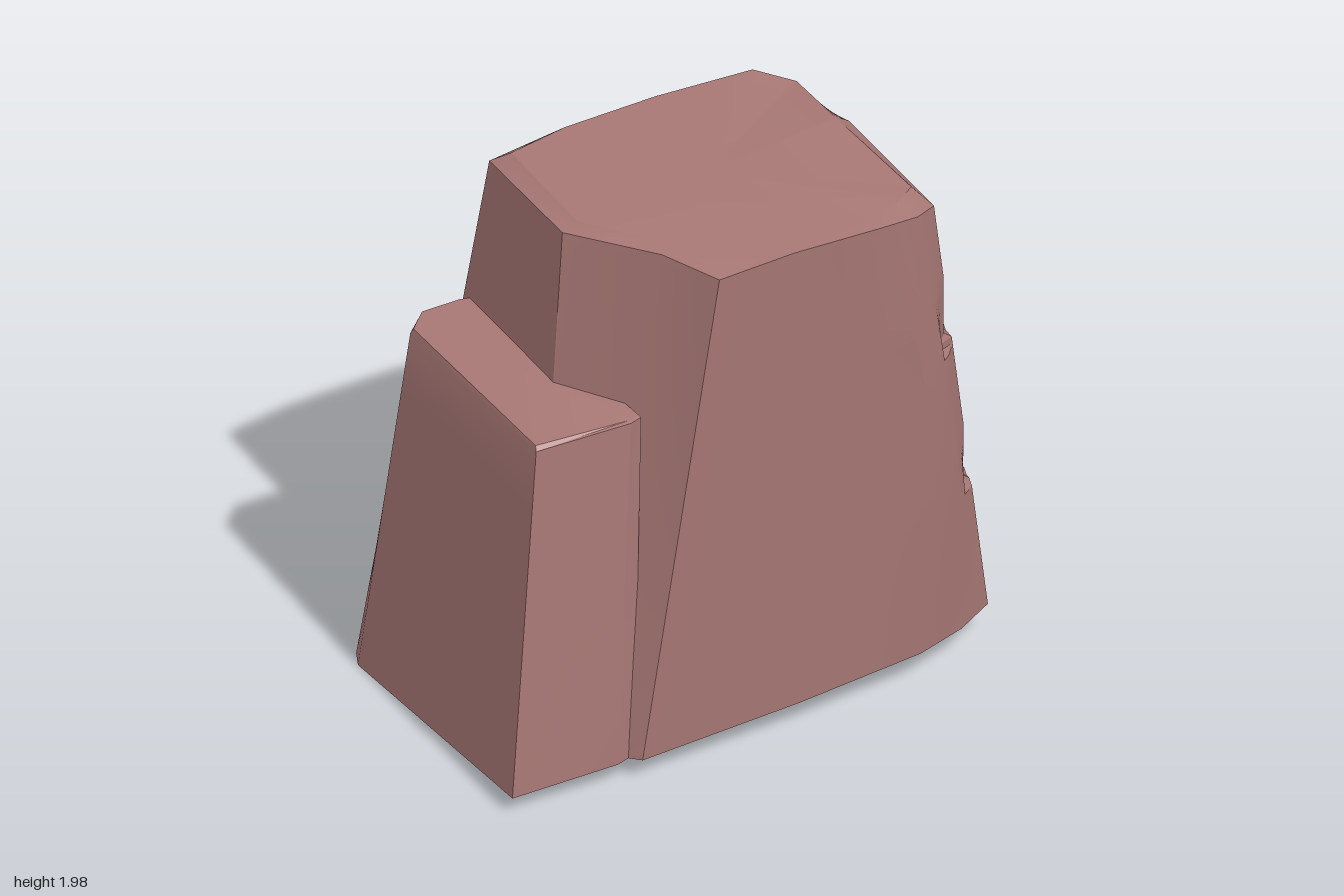
import * as THREE from 'three';
import { toCreasedNormals } from 'three/addons/utils/BufferGeometryUtils.js';

const lerp = THREE.MathUtils.lerp;
const clamp = THREE.MathUtils.clamp;

// The underside is one gently tilted plane.
const groundY = (x, z) => Math.max(0, 0.07 + 0.03 * x + 0.06 * z);

// Narrow upright crack in the right-hand face, 0..1
function crack(y, z) {
  const taper = Math.sqrt(clamp(1 - ((y - 1.0) / 0.4) ** 2, 0, 1));
  return clamp(1 - Math.abs(z + 0.05) / 0.026, 0, 1) * taper;
}

// Chipped ledge: recessed just above a diagonal line, fading upward and toward the back
function ledge(y, z, z0, y0, z1, y1) {
  const s = (z0 - z) / (z0 - z1);
  if (s < -0.1 || s > 1) return 0;
  const above = y - lerp(y0, y1, s);
  return above < 0 ? 0 : clamp(1 - above / 0.28, 0, 1) * (1 - Math.max(s, 0));
}

// How far the right-hand face is cut inward
function carve(y, z) {
  return 0.07 * crack(y, z)
    + 0.035 * ledge(y, z, 0.57, 1.3, 0.16, 1.57)
    + 0.035 * ledge(y, z, 0.48, 0.68, 0.08, 1.12)
    + 0.03 * Math.exp(-(((z + 0.56) / 0.06) ** 2) - ((y - 0.28) / 0.13) ** 2);
}

// Lofts upright columns { b:[x,z], t:[x,y,z], bulge, n } into a closed block.
// Columns run counterclockwise from the front left; n subdivides the face that follows.
function loftBlock(columns, rows, centre, inset, cut) {
  const around = [];
  columns.forEach((c, i) => {
    const d = columns[(i + 1) % columns.length];
    const n = c.n || 1;
    for (let k = 0; k < n; k++) {
      const f = k / n;
      around.push({
        b: c.b.map((v, a) => lerp(v, d.b[a], f)),
        t: c.t.map((v, a) => lerp(v, d.t[a], f)),
        bulge: lerp(c.bulge || 0, d.bulge || 0, f),
      });
    }
  });
  const count = around.length;
  const pos = [];
  const stone = [];
  const dark = [];

  // Wall rings, with a final ring drawn in over the top edge
  for (let j = 0; j <= rows + 1; j++) {
    const s = Math.min(j / rows, 1);
    for (const { b, t, bulge } of around) {
      let x = lerp(b[0], t[0], s) + bulge * Math.sin(Math.PI * s);
      let y = lerp(groundY(b[0], b[1]), t[1], s);
      let z = lerp(b[1], t[2], s);
      if (cut && x > 0.55 && j <= rows) x -= carve(y, z);
      if (j > rows) {
        x = lerp(x, centre[0], inset);
        y = lerp(y, centre[1], 0.75);
        z = lerp(z, centre[2], inset);
      }
      pos.push(x, y, z);
    }
  }
  for (let j = 0; j <= rows; j++) {
    for (let i = 0; i < count; i++) {
      const k = (i + 1) % count;
      const a = j * count + i, b = j * count + k;
      const inCrack = cut && pos[a * 3] > 0.55 && j < rows
        && crack(pos[a * 3 + 1], pos[a * 3 + 2]) > 0.5;
      (inCrack ? dark : stone).push(a, b, b + count, a, b + count, a + count);
    }
  }
  // Underside and top
  const low = pos.length / 3;
  pos.push(centre[0], groundY(centre[0], 0), 0, ...centre);
  const last = (rows + 1) * count;
  for (let i = 0; i < count; i++) {
    const k = (i + 1) % count;
    stone.push(low, k, i, low + 1, last + i, last + k);
  }

  const geo = new THREE.BufferGeometry();
  geo.setAttribute('position', new THREE.Float32BufferAttribute(pos, 3));
  geo.setIndex([...stone, ...dark]);
  geo.addGroup(0, stone.length, 0);
  geo.addGroup(stone.length, dark.length, 1);
  return toCreasedNormals(geo, 0.4);
}

export function createModel() {
  const stone = new THREE.MeshStandardMaterial({ color: 0xa87875 });
  stone.name = 'dusty red stone';
  const shade = new THREE.MeshStandardMaterial({ color: 0x6c5468 });
  shade.name = 'violet crack';

  const model = new THREE.Group();
  model.name = 'rock';
  const add = (name, geo) => {
    const mesh = new THREE.Mesh(geo, [stone, shade]);
    mesh.name = name;
    model.add(mesh);
  };

  // Tall block leaning forward
  add('mainBlock', loftBlock([
    { b: [-0.52, 0.57], t: [-0.29, 1.97, 0.69] },
    { b: [0.1, 0.59], t: [0.0, 1.985, 0.71], n: 2 },
    { b: [0.6, 0.58], t: [0.34, 1.975, 0.73], bulge: 0.12, n: 2 },
    { b: [0.8, 0.53], t: [0.52, 1.93, 0.68], bulge: 0.05, n: 2 },
    { b: [0.96, 0.45], t: [0.64, 1.89, 0.6], n: 40 },
    { b: [1.0, -0.15], t: [0.67, 1.93, 0.05], bulge: 0.035, n: 40 },
    { b: [0.98, -0.48], t: [0.72, 1.82, -0.28], bulge: 0.03, n: 8 },
    { b: [0.83, -0.7], t: [0.61, 1.9, -0.41], n: 2 },
    { b: [0.2, -0.735], t: [0.2, 1.92, -0.45], n: 2 },
    { b: [-0.2, -0.735], t: [-0.2, 1.92, -0.46], n: 2 },
    { b: [-0.63, -0.71], t: [-0.47, 1.93, -0.42] },
    { b: [-0.72, 0.2], t: [-0.54, 1.95, 0.12] },
    { b: [-0.6, 0.45], t: [-0.36, 1.97, 0.45] },
  ], 64, [0.05, 1.985, 0.12], 0.1, true));

  // Lower slab against the right-hand flank
  add('sideSlab', loftBlock([
    { b: [-1.0, 0.5], t: [-0.87, 1.37, 0.45] },
    { b: [-0.6, 0.54], t: [-0.52, 1.385, 0.5] },
    { b: [-0.52, 0.52], t: [-0.465, 1.38, 0.48] },
    { b: [-0.5, -0.6], t: [-0.42, 1.37, -0.44] },
    { b: [-0.67, -0.65], t: [-0.55, 1.36, -0.49] },
    { b: [-0.86, -0.64], t: [-0.7, 1.35, -0.5] },
    { b: [-0.9, -0.57], t: [-0.79, 1.36, -0.42] },
  ], 6, [-0.65, 1.39, 0.0], 0.03, false));

  return model;
}
